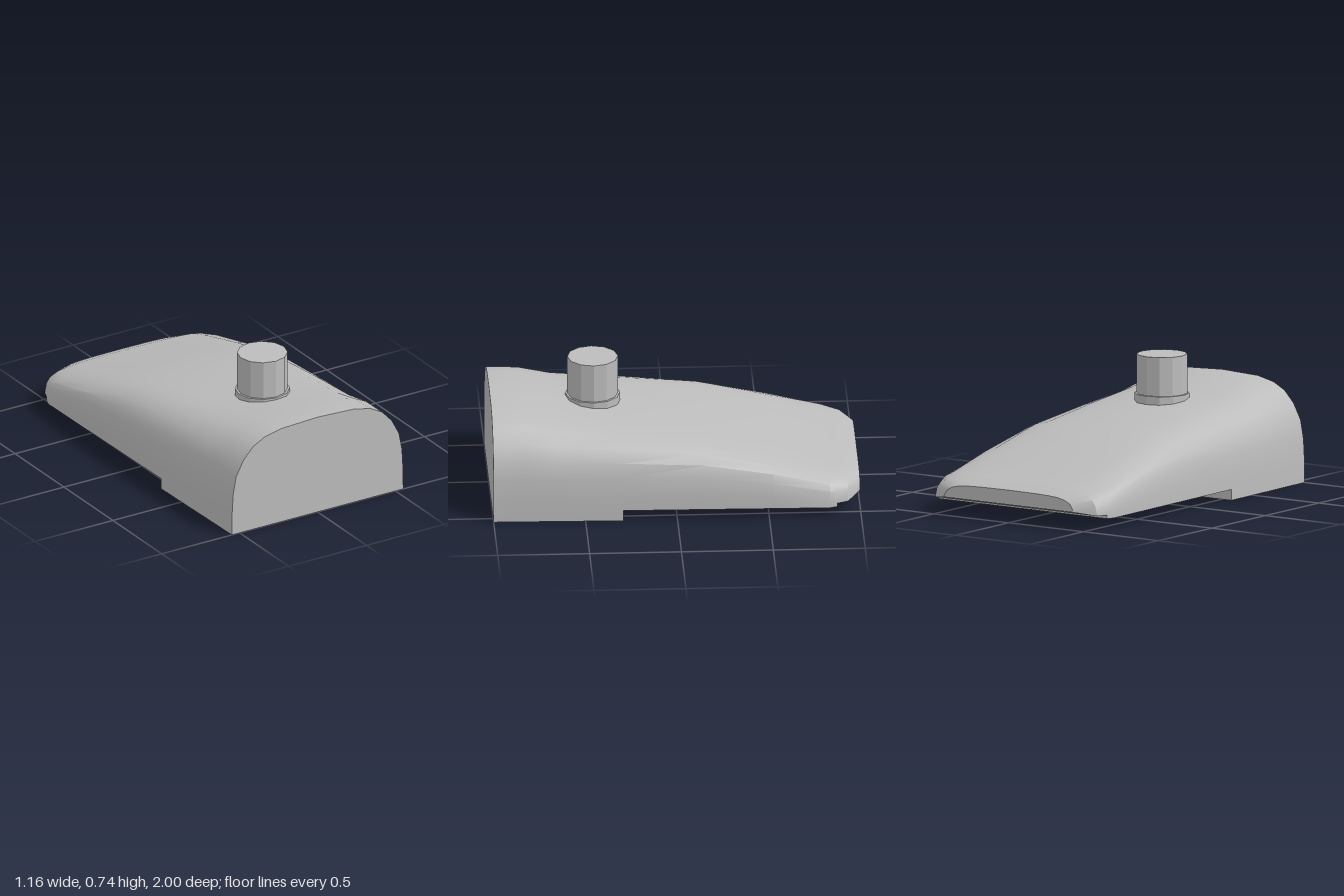
import * as THREE from 'three';
import { toCreasedNormals } from 'three/addons/utils/BufferGeometryUtils.js';

// Half outlines (share of half width, share of height) at the tall and the low end
const TALL = [[1, 0], [0.998, 0.2], [0.985, 0.42], [0.95, 0.6], [0.865, 0.755], [0.755, 0.87], [0.62, 0.94], [0.43, 0.982], [0, 1]];
const LOW = [[1, 0], [1, 0.4], [0.98, 0.65], [0.94, 0.79], [0.86, 0.89], [0.75, 0.95], [0.62, 0.975], [0.43, 0.992], [0, 1]];

// Stations along the body: z, half width, top, underside
const STATIONS = [
  [1, 0.55, 0.57, 0], [0.83, 0.553, 0.56, 0], [0.65, 0.557, 0.517, 0],
  [0.295, 0.564, 0.475, 0], [0.295, 0.564, 0.475, 0.06],
  [-0.15, 0.57, 0.415, 0.06], [-0.52, 0.576, 0.318, 0.06], [-0.83, 0.58, 0.23, 0.06],
  [-0.87, 0.565, 0.22, 0.06], [-0.87, 0.565, 0.22, 0.08],
  [-0.93, 0.54, 0.207, 0.08], [-1, 0.435, 0.18, 0.1],
];

// One closed ring, from the left foot over the top to the right foot
function ring([z, half, top, under]) {
  const t = Math.min(1, (1 - z) / 1.6);
  const side = TALL.map(([x, y], i) => [
    half * THREE.MathUtils.lerp(x, LOW[i][0], t),
    Math.max(under, top * THREE.MathUtils.lerp(y, LOW[i][1], t)),
  ]);
  const mirrored = side.slice(0, -1).reverse().map(([x, y]) => [-x, y]);
  return [...side, ...mirrored].map(([x, y]) => [x, y, z]);
}

function bodyGeometry() {
  const rings = STATIONS.map(ring);
  const n = rings[0].length;
  const index = [];
  for (let s = 0; s < rings.length - 1; s++) {
    for (let i = 0; i < n; i++) {
      const j = (i + 1) % n;
      const a = s * n, b = a + n;
      index.push(a + i, b + i, b + j, a + i, b + j, a + j);
    }
  }
  // Flat end faces
  const last = (rings.length - 1) * n;
  for (let i = 1; i < n - 1; i++) {
    index.push(0, i, i + 1, last, last + i + 1, last + i);
  }
  const geometry = new THREE.BufferGeometry();
  geometry.setAttribute('position', new THREE.Float32BufferAttribute(rings.flat(2), 3));
  geometry.setIndex(index);
  return toCreasedNormals(geometry, THREE.MathUtils.degToRad(28));
}

// Twelve-sided upright post between two heights
function post(name, radius, bottom, top, material) {
  const geometry = toCreasedNormals(
    new THREE.CylinderGeometry(radius, radius, top - bottom, 12), THREE.MathUtils.degToRad(20));
  const mesh = new THREE.Mesh(geometry, material);
  mesh.name = name;
  mesh.position.set(0, (top + bottom) / 2, 0.435);
  return mesh;
}

export function createModel() {
  const grey = new THREE.MeshStandardMaterial({ color: 0xbcbcbc });
  grey.name = 'light grey';

  const group = new THREE.Group();
  group.name = 'wedgeHousing';

  // Tapering body with a stepped underside
  const body = new THREE.Mesh(bodyGeometry(), grey);
  body.name = 'body';
  group.add(body);

  // Stub on the top with a slightly wider collar
  group.add(post('collar', 0.15, 0.42, 0.52, grey));
  group.add(post('stub', 0.138, 0.5, 0.735, grey));
  return group;
}
